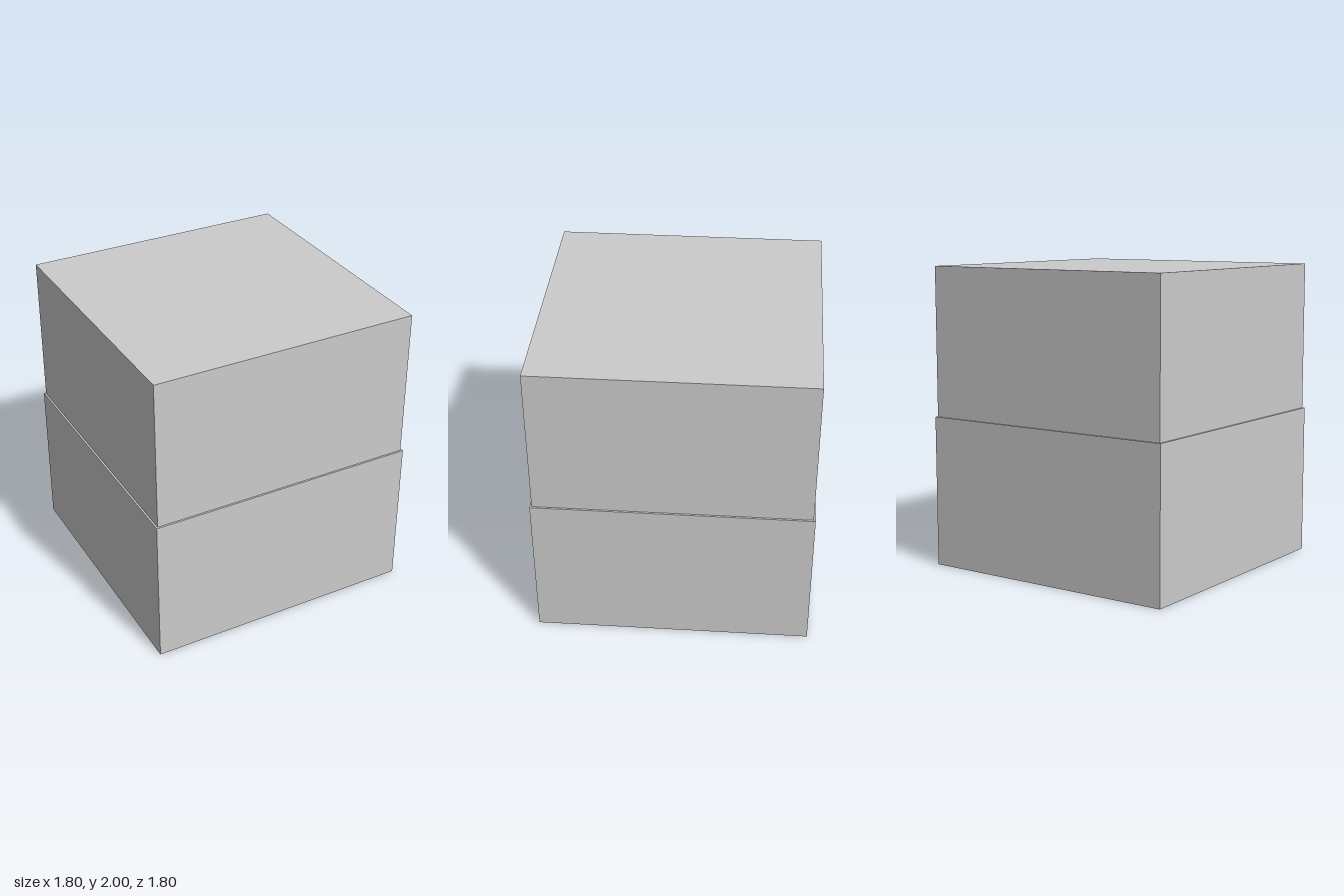
import * as THREE from 'three';

export function createModel() {
  const group = new THREE.Group();
  const material = new THREE.MeshStandardMaterial({ color: 0xcccccc });

  // Square block spanning bottom..top
  function addBlock(name, width, bottom, top) {
    const mesh = new THREE.Mesh(new THREE.BoxGeometry(width, top - bottom, width), material);
    mesh.name = name;
    mesh.position.y = (bottom + top) / 2;
    group.add(mesh);
  }

  addBlock('lowerBlock', 1.796, 0, 1.005);
  // Slightly narrower block, leaving a thin ledge all round
  addBlock('upperBlock', 1.772, 1.005, 2);

  return group;
}
